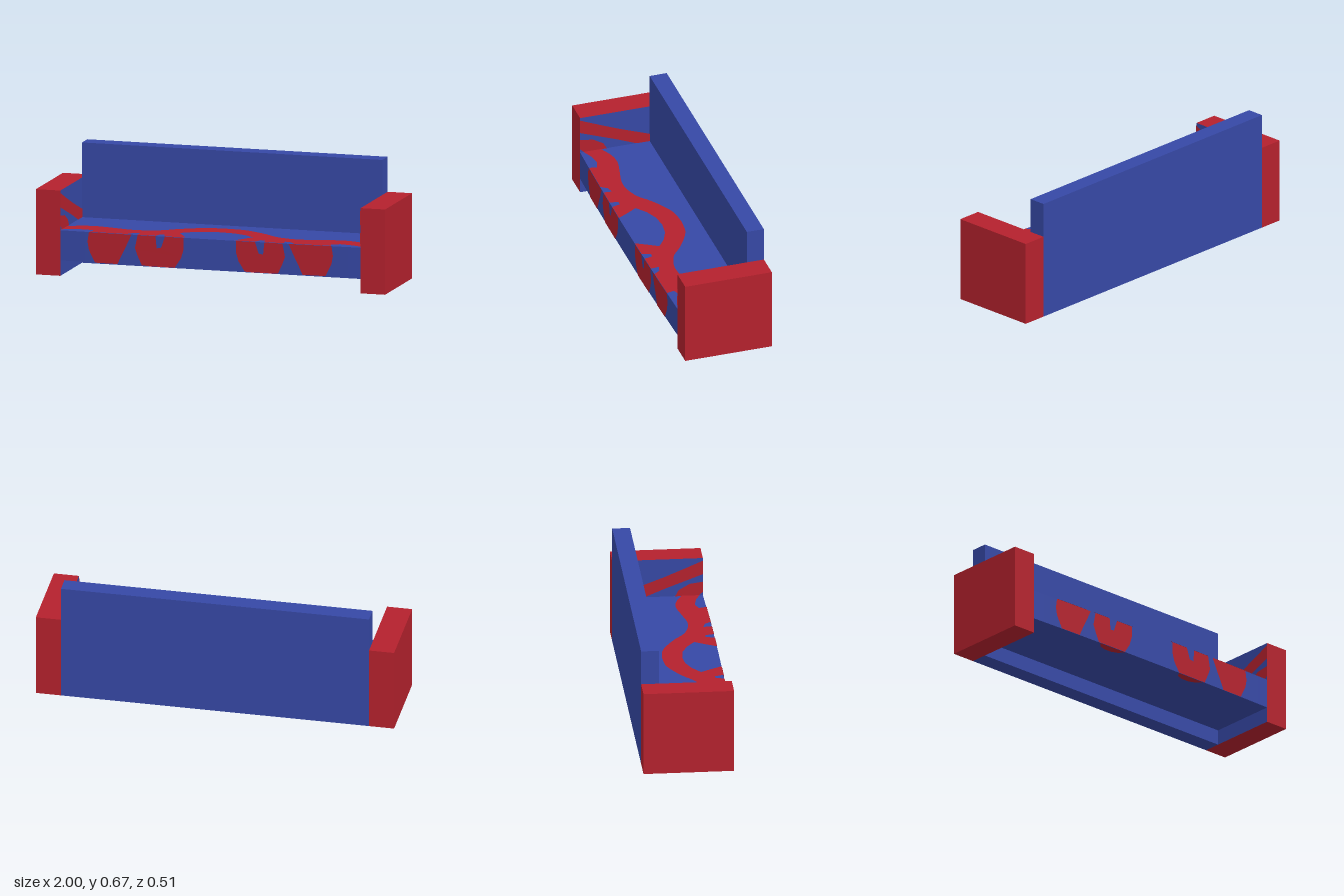
import * as THREE from 'three';

const HALF = 0.86;        // half the width between the arms
const FRONT = 0.243, BACK = -0.255;
const SEAT_LOW = 0.086, SEAT_TOP = 0.254;
const LIFT = 0.002;       // height of painted patches over their surface

// gently bowed front edge of the seat
const bow = (x) => FRONT + 0.011 * (1 - (x / HALF) ** 2);

export function createModel() {
  const group = new THREE.Group();
  const red = new THREE.MeshStandardMaterial({ color: 0xb4212d, side: THREE.DoubleSide });
  red.name = 'red';
  const blue = new THREE.MeshStandardMaterial({ color: 0x3648a5 });
  blue.name = 'blue';

  const add = (name, geometry, material) => {
    const mesh = new THREE.Mesh(geometry, material);
    mesh.name = name;
    group.add(mesh);
    return mesh;
  };

  // flat patch from 2D points, each placed on a surface by the rule place(a, b)
  const patch = (name, points, place) => {
    const shape = new THREE.Shape(points.map(([a, b]) => new THREE.Vector2(a, b)));
    const geometry = new THREE.ShapeGeometry(shape);
    const p = geometry.attributes.position;
    for (let i = 0; i < p.count; i++) p.setXYZ(i, ...place(p.getX(i), p.getY(i)));
    geometry.computeVertexNormals();
    add(name, geometry, red);
  };

  const smooth = (points, n) =>
    new THREE.SplineCurve(points.map(([a, b]) => new THREE.Vector2(a, b)))
      .getPoints(n).map((v) => [v.x, v.y]);

  // backrest
  const back = add('backrest', new THREE.BoxGeometry(2 * HALF, 0.67, 0.098), blue);
  back.position.set(0, 0.335, BACK + 0.049);

  // seat with bowed front
  const outline = [[-HALF, -0.157], [HALF, -0.157]];
  for (let i = 0; i <= 24; i++) {
    const x = HALF - (2 * HALF * i) / 24;
    outline.push([x, bow(x)]);
  }
  const seatShape = new THREE.Shape(outline.map(([x, z]) => new THREE.Vector2(x, -z)));
  const seat = new THREE.ExtrudeGeometry(seatShape, { depth: SEAT_TOP - SEAT_LOW, bevelEnabled: false });
  seat.rotateX(-Math.PI / 2);
  seat.translate(0, SEAT_LOW, 0);
  add('seat', seat, blue);

  // red arches on the seat top, given for one half and mirrored
  const rearEdge = smooth([[0, -0.06], [0.1, -0.05], [0.18, -0.015], [0.26, 0.035], [0.33, 0.09],
    [0.42, 0.12], [0.5, 0.122], [0.6, 0.1], [0.7, 0.08], [0.78, 0.09], [HALF, 0.125]], 40);
  const frontEdge = [[HALF, 0.225], [0.8, 0.2], [0.73, 0.187], [0.68, 0.203], [0.69, bow(0.69)],
    [0.58, bow(0.58)], [0.48, bow(0.48)], [0.455, 0.215], [0.415, 0.205], [0.42, bow(0.42)],
    [0.31, bow(0.31)], [0.3, 0.205], [0.275, 0.205], [0.26, bow(0.26)], [0.14, bow(0.14)],
    [0.17, 0.2], [0.21, 0.135], [0.15, 0.09], [0.08, 0.06], [0, 0.05]];
  const half = [...rearEdge, ...frontEdge];
  const mirrored = half.slice(1, -1).reverse().map(([x, z]) => [-x, z]);
  patch('seatTopArches', [...half, ...mirrored], (x, z) => [x, SEAT_TOP + LIFT, z]);

  const outerPatch = [[0.695, SEAT_TOP], [0.703, 0.2], [0.695, 0.155], [0.66, SEAT_LOW],
    [0.53, SEAT_LOW], [0.51, 0.13], [0.48, 0.19], [0.45, SEAT_TOP]];
  const innerPatch = [[0.415, SEAT_TOP], [0.43, 0.18], [0.415, 0.14], [0.39, SEAT_LOW],
    [0.2, SEAT_LOW], [0.165, 0.14], [0.15, 0.19], [0.15, SEAT_TOP], [0.258, SEAT_TOP],
    [0.28, 0.19], [0.305, 0.187], [0.312, SEAT_TOP]];
  const underPatch = [[0.2, 0], [0.22, 0.03], [0.26, 0.045], [0.31, 0.045], [0.35, 0.03], [0.38, 0]];
  const armBand = [[FRONT, 0.46], [0.15, 0.42], [0.03, 0.37], [-0.157, 0.3],
    [-0.157, SEAT_TOP], [-0.08, SEAT_TOP], [0.03, 0.3], [0.15, 0.345], [FRONT, 0.38]];
  const armCorner = [[FRONT, 0.335], [0.17, 0.325], [0.11, 0.29], [0.09, SEAT_TOP], [0.22, SEAT_TOP], [FRONT, 0.275]];

  for (const [side, s] of [['left', 1], ['right', -1]]) {
    // arm: red box with a blue inner face
    const faces = Array(6).fill(red);
    faces[s > 0 ? 1 : 0] = blue;
    const arm = add(side + 'Arm', new THREE.BoxGeometry(1 - HALF, 0.475, FRONT - BACK), faces);
    arm.position.set(s * (1 + HALF) / 2, 0.2375, (FRONT + BACK) / 2);

    // painted patches on the arm's inner face
    const onArm = (z, y) => [s * (HALF - LIFT), y, z];
    patch(side + 'ArmBand', armBand, onArm);
    patch(side + 'ArmCorner', armCorner, onArm);

    // painted patches on the seat front and underside
    const onFront = (x, y) => [s * x, y, bow(x) + LIFT];
    patch(side + 'OuterFrontPatch', outerPatch, onFront);
    patch(side + 'InnerFrontPatch', innerPatch, onFront);
    patch(side + 'UnderPatch', underPatch, (x, d) => [s * x, SEAT_LOW - LIFT, bow(x) - d]);
  }
  return group;
}
